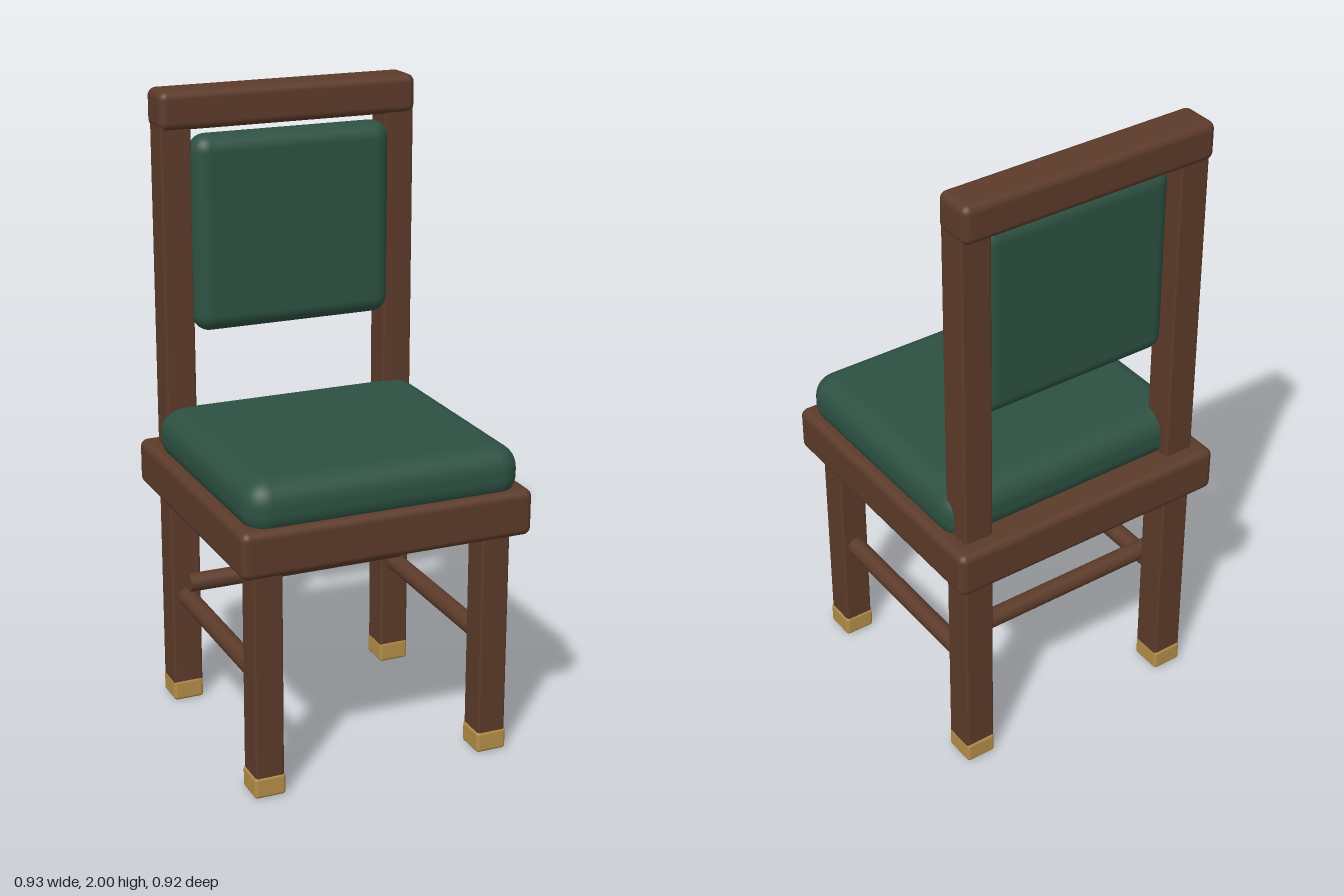
import * as THREE from 'three';
import { RoundedBoxGeometry } from 'three/addons/geometries/RoundedBoxGeometry.js';

export function createModel() {
  const chair = new THREE.Group();
  chair.name = 'chair';
  const wood = new THREE.MeshStandardMaterial({ color: 0x5c3b2a });
  const fabric = new THREE.MeshStandardMaterial({ color: 0x2d5142 });
  const brass = new THREE.MeshStandardMaterial({ color: 0xb48e48 });

  function add(name, geometry, material) {
    const mesh = new THREE.Mesh(geometry, material);
    mesh.name = name;
    chair.add(mesh);
    return mesh;
  }

  // Rounded block given by its min and max on each axis
  function block(name, [x0, x1], [y0, y1], [z0, z1], radius, material) {
    const geometry = new RoundedBoxGeometry(x1 - x0, y1 - y0, z1 - z0, 5, radius);
    const mesh = add(name, geometry, material);
    mesh.position.set((x0 + x1) / 2, (y0 + y1) / 2, (z0 + z1) / 2);
  }

  // Round stretcher, lying along x or z
  function stretcher(name, length, axis, x, y, z) {
    const geometry = new THREE.CylinderGeometry(0.03, 0.03, length, 20);
    if (axis === 'x') geometry.rotateZ(Math.PI / 2);
    else geometry.rotateX(Math.PI / 2);
    add(name, geometry, wood).position.set(x, y, z);
  }

  // Seat and cushion
  block('seatFrame', [-0.467, 0.467], [0.725, 0.872], [-0.46, 0.457], 0.025, wood);
  block('seatCushion', [-0.44, 0.44], [0.835, 1.006], [-0.375, 0.444], 0.075, fabric);

  // Backrest
  block('topRail', [-0.422, 0.422], [1.88, 2], [-0.428, -0.296], 0.025, wood);
  block('backCushion', [-0.326, 0.326], [1.25, 1.865], [-0.37, -0.26], 0.052, fabric);

  // Legs, back posts, brass feet and side stretchers, mirrored
  for (const side of [-1, 1]) {
    const label = side > 0 ? 'left' : 'right';
    const span = (half) => [side * 0.37 - half, side * 0.37 + half];
    block(label + 'FrontLeg', span(0.046), [0.02, 0.76], [0.311, 0.409], 0.008, wood);
    block(label + 'BackPost', span(0.049), [0.02, 1.92], [-0.407, -0.307], 0.008, wood);
    block(label + 'FrontFoot', span(0.05), [0, 0.07], [0.308, 0.412], 0.011, brass);
    block(label + 'BackFoot', span(0.05), [0, 0.07], [-0.411, -0.305], 0.011, brass);
    stretcher(label + 'Stretcher', 0.64, 'z', side * 0.37, 0.365, 0.002);
  }

  // Cross stretcher in front of the back posts
  stretcher('backStretcher', 0.74, 'x', 0, 0.42, -0.285);

  return chair;
}
